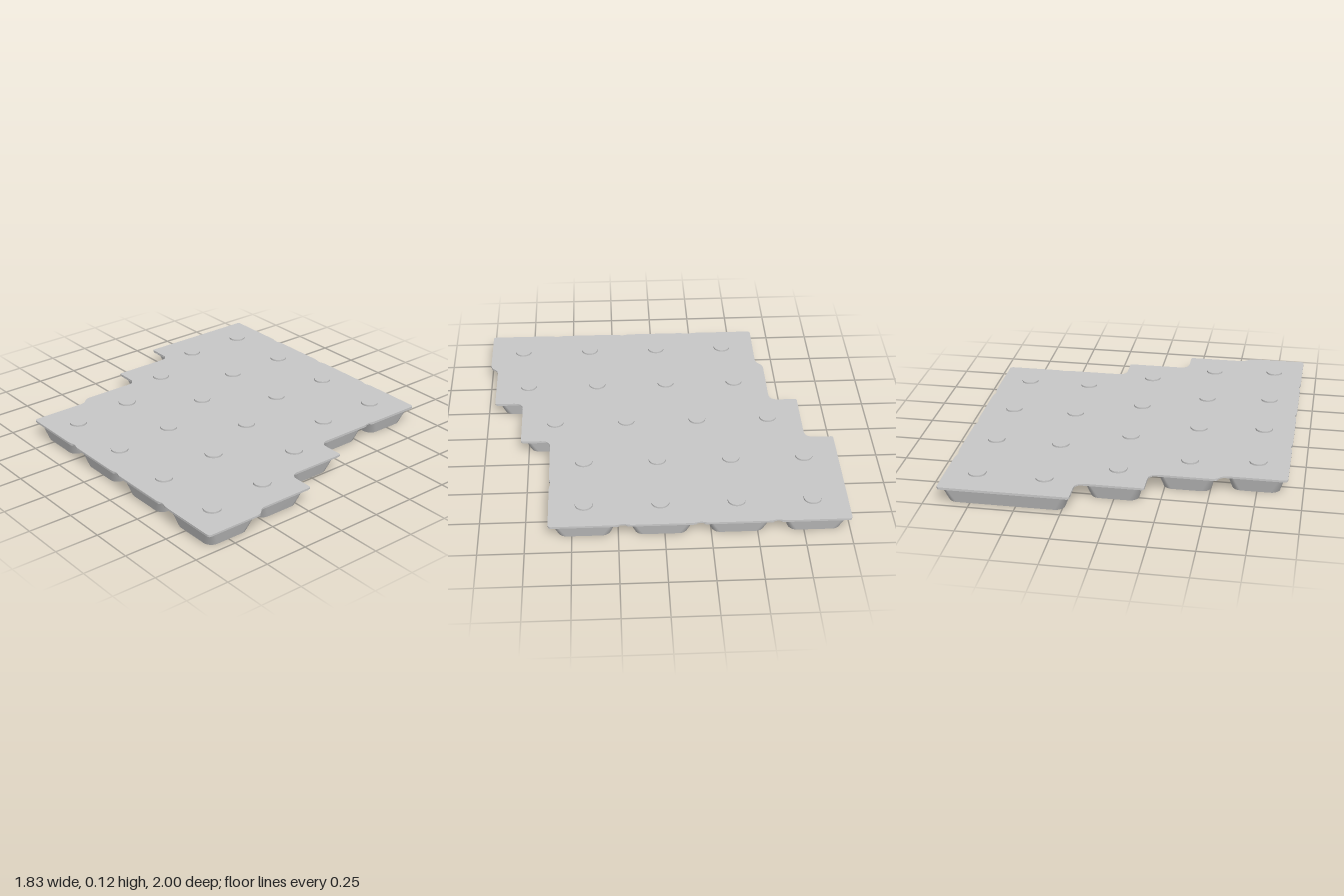
import * as THREE from 'three';

const PITCH_X = 0.3715, PITCH_Z = 0.4133;
const SHEET_LOW = 0.098, TOP = 0.107, FLANGE_LOW = 0.093;

// Closed shape through [x, z, cornerRadius] points
function roundedShape(points) {
  const shape = new THREE.Shape();
  const n = points.length;
  const toward = (a, b, r) => {
    const dx = b[0] - a[0], dz = b[1] - a[1], len = Math.hypot(dx, dz);
    const t = Math.min(r, len * 0.5) / len;
    return [a[0] + dx * t, a[1] + dz * t];
  };
  points.forEach((p, i) => {
    const s = toward(p, points[(i + n - 1) % n], p[2]);
    const e = toward(p, points[(i + 1) % n], p[2]);
    if (i === 0) shape.moveTo(s[0], -s[1]);
    else shape.lineTo(s[0], -s[1]);
    shape.quadraticCurveTo(p[0], -p[1], e[0], -e[1]);
  });
  shape.closePath();
  return shape;
}

// Flat slab between two heights
function slab(points, low, high) {
  const geo = new THREE.ExtrudeGeometry(roundedShape(points), {
    depth: high - low, bevelEnabled: false, curveSegments: 6,
  });
  return geo.rotateX(-Math.PI / 2).translate(0, low, 0);
}

const rectangle = (w, d, r) =>
  [[-w / 2, -d / 2, r], [w / 2, -d / 2, r], [w / 2, d / 2, r], [-w / 2, d / 2, r]];

// Ring of points around a rounded rectangle
function ring(w, d, r, y) {
  const out = [], seg = 6;
  const signs = [[1, 1], [-1, 1], [-1, -1], [1, -1]];
  signs.forEach(([sx, sz], c) => {
    for (let i = 0; i <= seg; i++) {
      const a = (c + i / seg) * Math.PI / 2;
      out.push(sx * (w / 2 - r) + r * Math.cos(a), y, sz * (d / 2 - r) + r * Math.sin(a));
    }
  });
  return out;
}

// Tapered key body, closed at the bottom
function keyGeometry(extra) {
  const top = ring(0.308 + extra, 0.348, 0.03, FLANGE_LOW);
  const bottom = ring(0.262 + extra, 0.289, 0.05, 0);
  const n = top.length / 3, index = [];
  for (let i = 0; i < n; i++) {
    const j = (i + 1) % n;
    index.push(n + i, i, n + j, i, j, n + j);
    index.push(3 * n, 2 * n + i, 2 * n + j);
  }
  const geo = new THREE.BufferGeometry();
  geo.setAttribute('position',
    new THREE.Float32BufferAttribute([...top, ...bottom, ...bottom, 0, 0, 0], 3));
  geo.setIndex(index);
  geo.computeVertexNormals();
  return geo;
}

// Shallow dents along a side edge, between neighbouring keys
const dents = (x, dir, zs) => zs.flatMap((z) => [
  [x, z - dir * 0.035, 0.02], [x - Math.sign(x) * 0.012, z, 0.02], [x, z + dir * 0.035, 0.02],
]);

export function createModel() {
  const group = new THREE.Group();
  const rubber = new THREE.MeshStandardMaterial({ color: 0xc8c8c8 });
  rubber.name = 'light grey rubber';

  const add = (name, geo, x = 0, z = 0) => {
    const mesh = new THREE.Mesh(geo, rubber);
    mesh.name = name;
    mesh.position.set(x, 0, z);
    group.add(mesh);
  };

  // Sheet joining all keys, stepped along its back and front
  const outline = [
    [-0.917, -0.63, 0.02],
    [-0.57, -0.63, 0.03], [-0.535, -0.673, 0.03],
    [-0.172, -0.673, 0.055], [-0.172, -0.837, 0.012],
    [0.2, -0.837, 0.055], [0.2, -1, 0.012],
    [0.917, -1, 0.02],
    ...dents(0.917, 1, [-0.603, -0.19, 0.225]),
    [0.917, 0.624, 0.02],
    [0.592, 0.624, 0.02], [0.557, 0.614, 0.02], [0.522, 0.624, 0.02],
    [0.172, 0.624, 0.055], [0.172, 0.791, 0.012],
    [-0.199, 0.791, 0.055], [-0.199, 0.956, 0.012],
    [-0.542, 0.956, 0.03], [-0.578, 1, 0.03],
    [-0.917, 1, 0.02],
    ...dents(-0.917, -1, [0.598, 0.184, -0.228]),
  ];
  add('sheet', slab(outline, SHEET_LOW, TOP));

  // Geometries shared by the keys
  const nub = new THREE.CylinderGeometry(0.049, 0.049, 0.018, 32).translate(0, 0.108, 0);
  const parts = [0, PITCH_X].map((extra) => ({
    body: keyGeometry(extra),
    flange: slab(rectangle(0.344 + extra, 0.382, 0.018), FLANGE_LOW, SHEET_LOW),
  }));

  // Five staggered columns of four keys; the last two share a wide key at the back
  const firstZ = [-0.435, -0.478, -0.643, -0.808, -0.808];
  firstZ.forEach((z0, col) => {
    const x = (col - 2) * PITCH_X;
    for (let row = 0; row < 4; row++) {
      const z = z0 + row * PITCH_Z;
      add('nub', nub, x, z);
      const shared = row === 0 && col >= 3;
      if (shared && col === 4) continue;
      const { body, flange } = parts[shared ? 1 : 0];
      const kx = shared ? x + PITCH_X / 2 : x;
      add(shared ? 'wideKey' : 'key', body, kx, z);
      add(shared ? 'wideKeyFlange' : 'keyFlange', flange, kx, z);
    }
  });

  return group;
}
